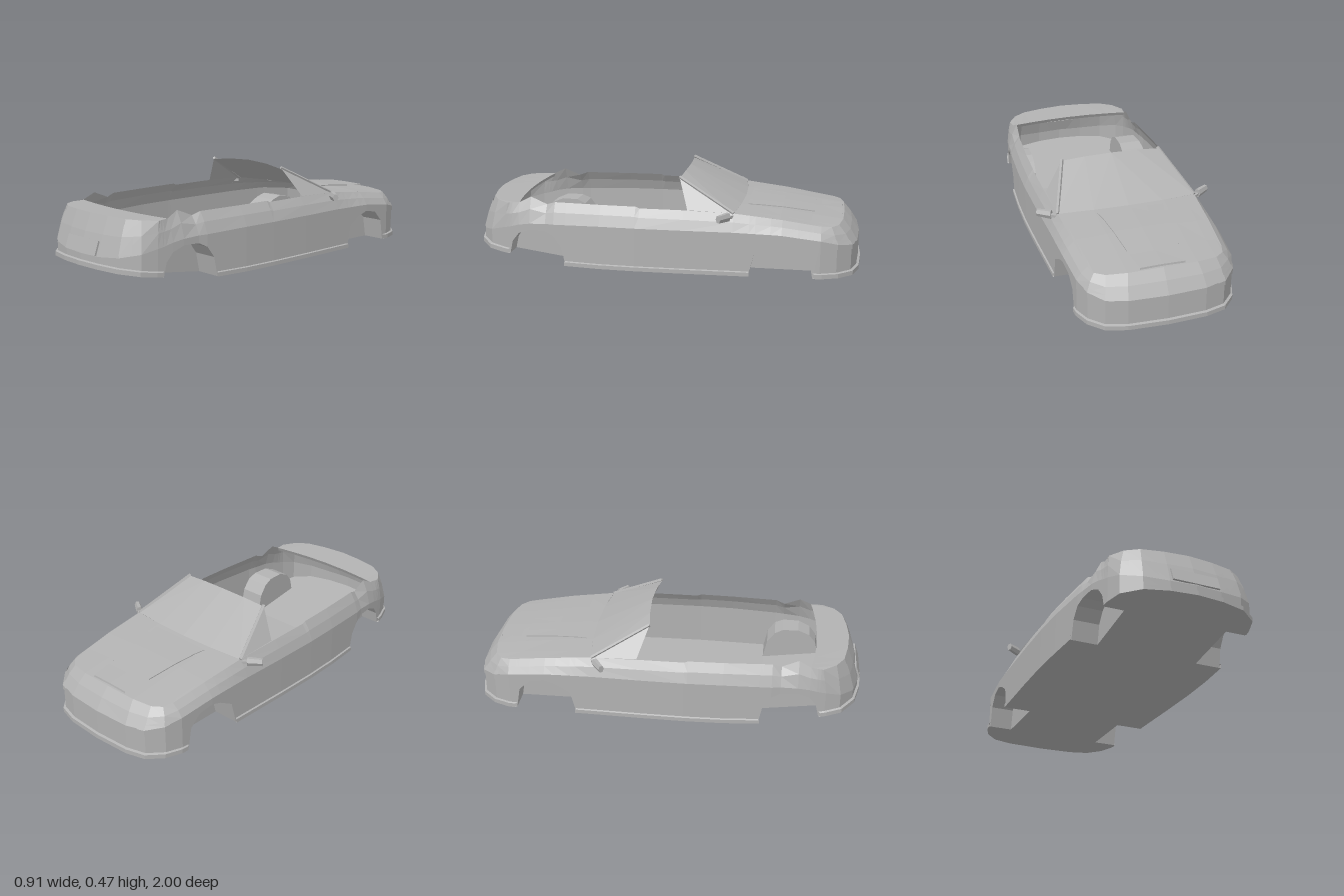
import * as THREE from 'three';

const V = (x, y, z) => new THREE.Vector3(x, y, z);
const paint = new THREE.MeshStandardMaterial({ color: 0xb2b2b2, flatShading: true, side: THREE.DoubleSide });
paint.name = 'greyPaint';

// Surface through rows of points, all rows of equal length
function sheet(name, rows) {
  const n = rows[0].length, index = [];
  for (let r = 0; r < rows.length - 1; r++) {
    for (let i = 0; i < n - 1; i++) {
      const a = r * n + i, b = a + n;
      index.push(a, b, a + 1, b, b + 1, a + 1);
    }
  }
  const g = new THREE.BufferGeometry().setFromPoints(rows.flat());
  g.setIndex(index);
  g.computeVertexNormals();
  const m = new THREE.Mesh(g, paint);
  m.name = name;
  return m;
}

// Flank keys: z, low half width, top half width, top height, crease height
const flank = [
  [-0.80, 0.385, 0.330, 0.250, 0.190], [-0.60, 0.400, 0.345, 0.280, 0.215],
  [-0.37, 0.405, 0.358, 0.305, 0.220], [-0.12, 0.412, 0.365, 0.312, 0.220],
  [0.10, 0.415, 0.365, 0.312, 0.220], [0.12, 0.415, 0.365, 0.320, 0.220],
  [0.30, 0.410, 0.360, 0.320, 0.220], [0.54, 0.395, 0.345, 0.320, 0.215],
  [0.585, 0.387, 0.335, 0.305, 0.215], [0.67, 0.380, 0.330, 0.340, 0.210],
  [0.73, 0.372, 0.338, 0.310, 0.200], [0.80, 0.362, 0.345, 0.305, 0.180],
];
function flankAt(z) {
  let i = 0;
  while (i < flank.length - 2 && z > flank[i + 1][0]) i++;
  const [a, b] = [flank[i], flank[i + 1]];
  const t = THREE.MathUtils.clamp((z - a[0]) / (b[0] - a[0]), 0, 1);
  return a.map((v, k) => v + (b[k] - v) * t);
}
const baseY = (z) => Math.max(0, (z - 0.46) * 0.14);

// Wheel arch outlines: z, y
const frontArch = [[-0.765, 0], [-0.745, 0.11], [-0.69, 0.165], [-0.61, 0.18], [-0.555, 0.163], [-0.48, 0.12], [-0.45, 0]];
const rearArch = [[0.48, baseY(0.48)], [0.5, 0.1], [0.54, 0.155], [0.585, 0.178], [0.67, 0.18], [0.73, 0.155], [0.765, 0.11], [0.78, baseY(0.78)]];

// End columns: low x, low z, top x, top z, top y, crease y
const nose = [
  [0, -0.988, 0, -0.91, 0.255, 0.15], [0.19, -0.978, 0.17, -0.905, 0.252, 0.15],
  [0.29, -0.95, 0.27, -0.885, 0.247, 0.155], [0.355, -0.88, 0.315, -0.85, 0.246, 0.17],
  [0.385, -0.80, 0.33, -0.80, 0.25, 0.19],
];
const tail = [
  [0.36, 0.81, 0.345, 0.79, 0.306, 0.18], [0.335, 0.885, 0.30, 0.855, 0.31, 0.16],
  [0.25, 0.95, 0.235, 0.895, 0.312, 0.14], [0.13, 0.978, 0.125, 0.915, 0.314, 0.13],
  [0, 0.988, 0, 0.925, 0.315, 0.13],
];
const endColumn = ([x, z, xt, zt, yt, yc]) => ({ x, z, xt, zt, yt, yc, yb: baseY(z) });
const sideColumn = (arch) => ([z, y]) => {
  const [, x, xt, yt, yc] = flankAt(z);
  return { x, z, xt, zt: z, yt, yc, yb: y, arch };
};
const sill = [-0.37, -0.12, 0.1, 0.12, 0.3].map((z) => [z, 0]);
const columns = [
  ...nose.map(endColumn), ...frontArch.map(sideColumn(true)), ...sill.map(sideColumn(false)),
  ...rearArch.map(sideColumn(true)), ...tail.map(endColumn),
];
const bodyRows = [
  (c) => V(c.x, c.yb, c.z),
  (c) => V(c.x, c.yc, c.z),
  (c) => V(c.x + (c.xt - c.x) * 0.42, c.yc + (c.yt - c.yc) * 0.55, c.z + (c.zt - c.z) * 0.48),
  (c) => V(c.xt, c.yt, c.zt),
];

// Point on the shell at fractional column and row
function shellPoint(c, r) {
  const ci = Math.min(Math.floor(c), columns.length - 2), ri = Math.min(Math.floor(r), 2);
  const at = (k) => bodyRows[ri](columns[k]).lerp(bodyRows[ri + 1](columns[k]), r - ri);
  return at(ci).lerp(at(ci + 1), c - ci);
}
// Thin lamp plate lying just outside the shell
function lamp(name, cs, rs) {
  return sheet(name, rs.map((r) => cs.map((c) => shellPoint(c, r).multiply(V(1.008, 1, 1.005)))));
}

// Raised lip along the foot of the shell
function lip(name, cols, h) {
  const ring = (s, dy) => cols.map((c) => V(c.x * (1 + s * 1.5), baseY(c.z) + dy, c.z * (1 + s)));
  return sheet(name, [ring(0, 0), ring(0.012, 0), ring(0.012, h), ring(0, h + 0.004)]);
}

function wheelWell(name, arch) {
  const inX = 0.265;
  return sheet(name, [
    arch.map(([z, y]) => V(flankAt(z)[1], y, z)),
    arch.map(([z, y]) => V(inX, y, z)),
    arch.map(([z]) => V(inX, baseY(z), z)),
  ]);
}

function hoodPoint(u, z, dy = 0, bow = 0) {
  const [, , xt, yt] = flankAt(z);
  const k = 1 - u * u, crown = 0.008 + 0.026 * Math.max(0, -z - 0.37);
  return V(u * xt, yt + crown * k + dy, z - bow * k);
}

// One side of the car, from the centre line to +x
function makeHalf() {
  const g = new THREE.Group();
  g.add(sheet('bodySide', bodyRows.map((f) => columns.map(f))));
  g.add(wheelWell('frontWheelWell', frontArch), wheelWell('rearWheelWell', rearArch));

  // Floor, stepped in around the wheel wells
  const edge = [];
  columns.forEach((c, i) => {
    const starts = c.arch && !columns[i - 1].arch, ends = c.arch && !columns[i + 1].arch;
    const y = baseY(c.z);
    if (!c.arch || starts) edge.push(V(c.x, y, c.z));
    if (c.arch) edge.push(V(0.265, y, c.z));
    if (ends) edge.push(V(c.x, y, c.z));
  });
  g.add(sheet('floor', [edge.map((p) => V(0, p.y, p.z)), edge]));

  // Hood with raised panel and scoop
  const hu = nose.map((n) => n[2] / 0.33);
  g.add(sheet('hood', [
    nose.map((n) => V(n[2], n[4], n[3])),
    ...[-0.75, -0.6, -0.48].map((z) => hu.map((u) => hoodPoint(u, z))),
    hu.map((u) => hoodPoint(u, -0.37, 0, 0.03)),
  ]));
  g.add(sheet('hoodPanel', [-0.76, -0.6, -0.48, -0.425].map((z, i) =>
    [0, 0.5, 1, 1].map((k, j) => hoodPoint(k * (0.38 + i * 0.035), z, j < 3 ? 0.004 : -0.004)))));
  g.add(sheet('hoodScoop', [
    [V(0, 0.255, -0.9), V(0.11, 0.252, -0.9)],
    [V(0, 0.265, -0.898), V(0.11, 0.263, -0.898)],
    [V(0, 0.275, -0.79), V(0.125, 0.273, -0.79)],
  ]));

  // Rear deck with a turned-down front edge
  const dt = tail.slice().reverse();
  const front = dt.map((n) => {
    const u = n[2] / 0.345;
    return V(u * 0.338, 0.308, 0.76 - 0.03 * u * u);
  });
  g.add(sheet('rearDeck', [
    front.map((p) => V(p.x, p.y - 0.02, p.z + 0.01)), front,
    dt.map((n) => V(n[2], n[4], n[3])),
  ]));

  // Windshield, pillar and quarter window
  const foot = [0, 0.5, 1].map((u) => hoodPoint(u, -0.37, 0, 0.03));
  const head = [V(0, 0.468, -0.105), V(0.14, 0.462, -0.098), V(0.255, 0.448, -0.085)];
  g.add(sheet('windshield', [foot, head]));
  const top = V(0.258, 0.455, -0.085), bottom = foot[2];
  const pillar = new THREE.Mesh(new THREE.CylinderGeometry(0.009, 0.009, top.distanceTo(bottom), 4), paint);
  pillar.name = 'windshieldPillar';
  pillar.position.copy(top).lerp(bottom, 0.5);
  pillar.quaternion.setFromUnitVectors(V(0, 1, 0), top.clone().sub(bottom).normalize());
  g.add(pillar);
  g.add(sheet('quarterWindow', [[bottom, V(0.36, 0.312, -0.14)], [top, top]]));

  // Bumper lips and side skirt
  g.add(lip('frontLip', columns.slice(0, 6), 0.022));
  g.add(lip('sideSkirt', columns.slice(11, 18), 0.02));
  g.add(lip('rearLip', columns.slice(24), 0.022));

  // Lamps
  g.add(lamp('headlamp', [1.6, 2, 3, 3.3], [0.85, 1, 1.45]));
  const t0 = columns.length - 5;
  g.add(lamp('tailLamp', [t0 + 1.4, t0 + 2, t0 + 2.6], [1.1, 2, 2.7]));

  // Door mirror
  const mirror = new THREE.Group();
  mirror.name = 'doorMirror';
  const head2 = new THREE.Mesh(new THREE.CylinderGeometry(0.02, 0.024, 0.075, 6), paint);
  head2.name = 'mirrorHead';
  head2.rotation.z = -Math.PI / 2;
  head2.scale.z = 0.75;
  const stem = new THREE.Mesh(new THREE.BoxGeometry(0.05, 0.014, 0.02), paint);
  stem.name = 'mirrorStem';
  stem.position.set(-0.045, -0.004, 0);
  mirror.add(head2, stem);
  mirror.position.set(0.415, 0.294, -0.325);
  mirror.rotation.y = -0.6;
  g.add(mirror);
  return g;
}

export function createModel() {
  const car = new THREE.Group();
  car.name = 'openCar';
  const left = makeHalf(), right = makeHalf();
  left.name = 'leftHalf';
  right.name = 'rightHalf';
  right.scale.x = -1;
  car.add(left, right);

  // Blank plate on the tail
  const plate = new THREE.Mesh(new THREE.BoxGeometry(0.24, 0.07, 0.009), paint);
  plate.name = 'rearPlate';
  plate.position.set(0, 0.168, 0.976);
  plate.rotation.x = -0.33;
  car.add(plate);
  return car;
}
